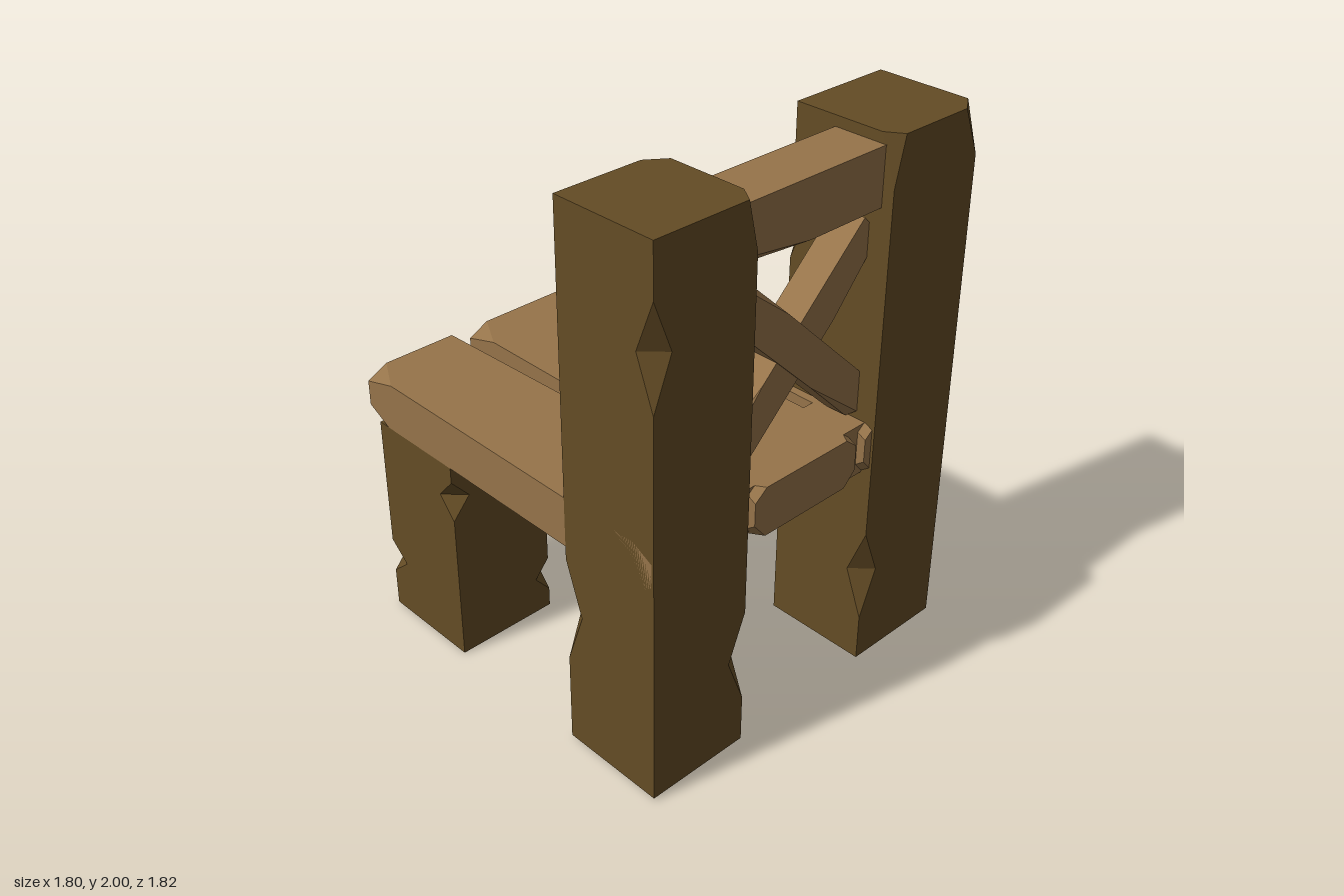
import * as THREE from 'three';

const lightWood = new THREE.MeshStandardMaterial({ color: 0x96744a, flatShading: true });
const darkWood = new THREE.MeshStandardMaterial({ color: 0x644c25, flatShading: true });

// Upright block from y = 0 to h whose four long edges carry chips.
// Chip: [corner, y, half height, cut along x, cut along z];
// corners run 0 (-x,+z), 1 (+x,+z), 2 (+x,-z), 3 (-x,-z).
function chippedBlock(w, h, d, chips) {
  const levels = [0, h];
  for (const [, y, half] of chips) levels.push(y - half, y, y + half);
  const ys = [...new Set(levels)].filter(y => y >= 0 && y <= h).sort((a, b) => a - b);

  // Eight-point cross-section, each corner split by its cut at this level
  const rings = ys.map(y => {
    const ring = [];
    for (let c = 0; c < 4; c++) {
      const sx = c === 1 || c === 2 ? 1 : -1, sz = c < 2 ? 1 : -1;
      let a = 0, b = 0;
      for (const [corner, cy, half, ca, cb] of chips) {
        if (corner !== c) continue;
        const k = Math.max(0, 1 - Math.abs(y - cy) / half);
        a = Math.max(a, ca * k);
        b = Math.max(b, cb * k);
      }
      const onX = new THREE.Vector3(sx * (w / 2 - a), y, sz * d / 2);
      const onZ = new THREE.Vector3(sx * w / 2, y, sz * (d / 2 - b));
      ring.push(...(c % 2 ? [onX, onZ] : [onZ, onX]));
    }
    return ring;
  });

  const pos = [];
  const tri = (p, q, r) => {
    if (new THREE.Triangle(p, q, r).getArea() > 1e-7) pos.push(...p.toArray(), ...q.toArray(), ...r.toArray());
  };
  for (let l = 0; l + 1 < rings.length; l++) {
    const lo = rings[l], hi = rings[l + 1];
    for (let i = 0; i < 8; i++) {
      const j = (i + 1) % 8;
      tri(lo[i], lo[j], hi[j]);
      tri(lo[i], hi[j], hi[i]);
    }
  }
  const bottom = rings[0], top = rings[rings.length - 1];
  for (let i = 1; i < 7; i++) {
    tri(top[0], top[i], top[i + 1]);
    tri(bottom[0], bottom[i + 1], bottom[i]);
  }
  const geo = new THREE.BufferGeometry();
  geo.setAttribute('position', new THREE.Float32BufferAttribute(pos, 3));
  geo.computeVertexNormals();
  return geo;
}

// Same chips moved round to other corners
const turn = (chips, n) => chips.map(([c, ...rest]) => [(c + n) % 4, ...rest]);

export function createModel() {
  const model = new THREE.Group();
  model.name = 'woodenChair';
  const chair = new THREE.Group();
  chair.name = 'chair';
  chair.rotation.y = THREE.MathUtils.degToRad(20);
  model.add(chair);

  const add = (name, geo, material, x, y, z) => {
    const mesh = new THREE.Mesh(geo, material);
    mesh.name = name;
    mesh.position.set(x, y, z);
    chair.add(mesh);
    return mesh;
  };

  // Tall posts carrying the backrest
  const postChips = [
    [0, 1.63, 0.18, 0.07, 0.07], [1, 0.36, 0.18, 0.07, 0.07], [3, 0.54, 0.2, 0.07, 0.07],
    [1, 1.99, 0.17, 0.04, 0.06], [2, 1.99, 0.17, 0.07, 0.05],
  ];
  add('rightPost', chippedBlock(0.4, 1.99, 0.4, postChips), darkWood, -0.49, 0.01, 0.5);
  add('leftPost', chippedBlock(0.4, 1.99, 0.4, turn(postChips, 3)), darkWood, 0.502, 0.01, 0.5);

  // Short legs
  const legChips = [
    [0, 0.145, 0.07, 0.06, 0.06], [3, 0.66, 0.08, 0.07, 0.07],
    [2, 0.22, 0.07, 0.06, 0.08], [1, 0.8, 0.07, 0.06, 0.06],
  ];
  add('leftLeg', chippedBlock(0.4, 0.8, 0.4, legChips), lightWood, 0.5, 0, -0.49);
  add('rightLeg', chippedBlock(0.4, 0.8, 0.4, turn(legChips, 1)), darkWood, -0.49, 0, -0.49);

  // Seat planks, laid along z with worn ends
  const planks = [[-0.49, 0.4, -0.74], [-0.012, 0.475, -0.735], [0.475, 0.41, -0.74]];
  planks.forEach(([x, width, back], i) => {
    const length = 0.69 - back;
    const geo = chippedBlock(width, length, 0.185, [
      [0, 0, 0.1, 0.05, 0.05], [1, 0, 0.12, 0.08, 0.06],
      [2, 0, 0.9, 0.035, 0.05], [3, 0, 0.14, 0.08, 0.04],
      [0, length, 0.08, 0.05, 0.06], [1, length, 0.08, 0.05, 0.05],
      [2, length, 0.08, 0.05, 0.04], [3, length, 0.08, 0.05, 0.04],
    ]);
    geo.rotateX(Math.PI / 2);
    add('seatPlank' + (i + 1), geo, lightWood, x, 0.892, back);
  });

  // Rails between the posts
  for (const [name, y, height] of [['lowerRail', 0.887, 0.195], ['upperRail', 1.86, 0.205]]) {
    const geo = chippedBlock(height, 0.64, 0.2, [[1, 0, 0.3, 0.04, 0.04], [2, 0.64, 0.3, 0.03, 0.04]]);
    geo.rotateZ(-Math.PI / 2);
    add(name, geo, lightWood, -0.315, y, 0.557);
  }

  // Crossed braces of the backrest
  for (const side of [-1, 1]) {
    const geo = chippedBlock(0.14, 0.9, 0.12, [[1, 0.9, 0.3, 0.03, 0.03], [0, 0, 0.3, 0.03, 0.03]]);
    geo.translate(0, -0.45, 0);
    geo.rotateZ(side * THREE.MathUtils.degToRad(46));
    add(side < 0 ? 'risingBrace' : 'fallingBrace', geo, lightWood, 0.005, 1.355, 0.558 + side * 0.003);
  }
  return model;
}
